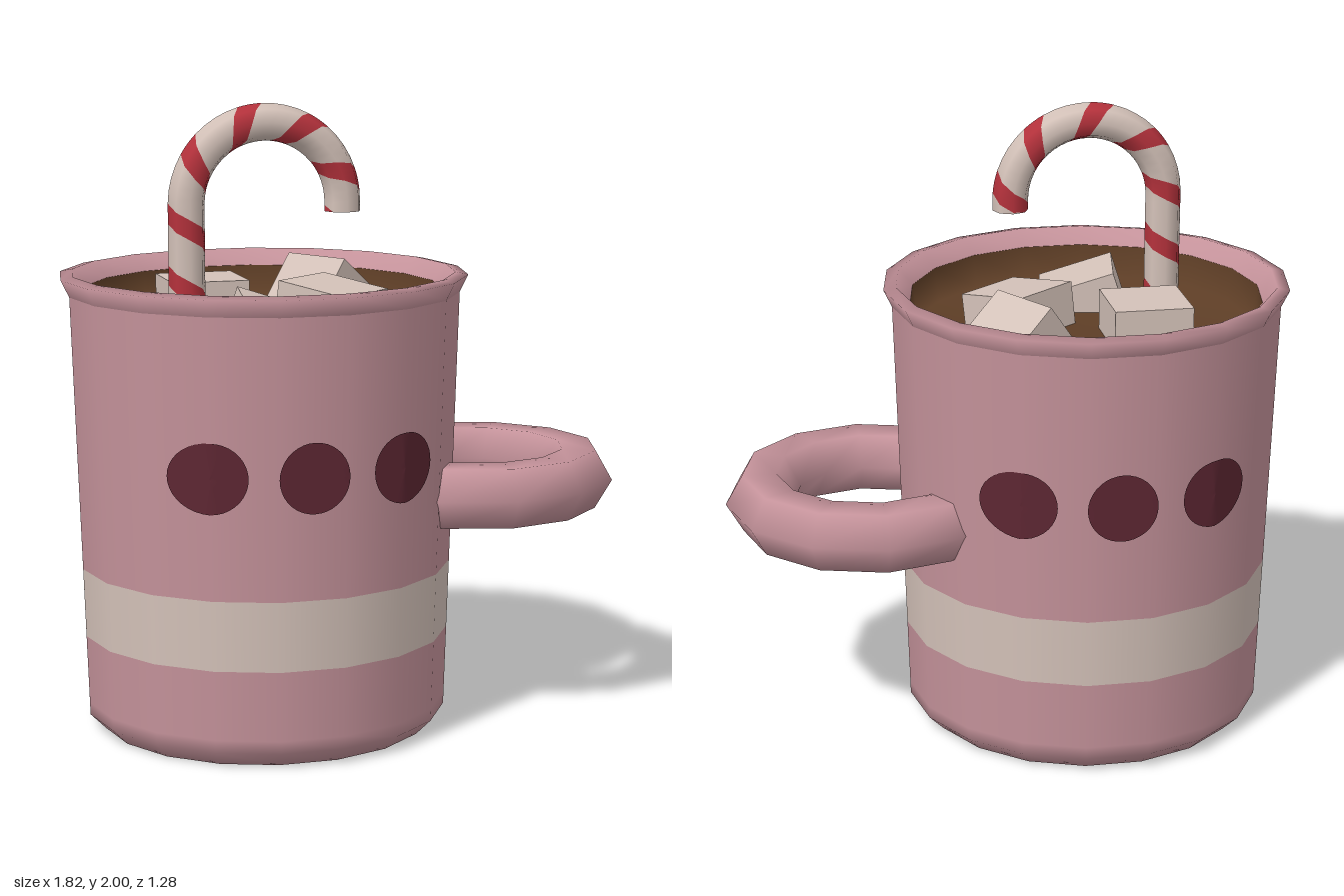
import * as THREE from 'three';

const mat = (name, color, side = THREE.FrontSide) => {
  const m = new THREE.MeshStandardMaterial({ color, side });
  m.name = name;
  return m;
};

const SIDES = 18;
const MUG_X = -0.26;
const wallRadius = (y) => 0.58 + (y - 0.05) * 0.032;

export function createModel() {
  const pink = mat('pink glaze', 0xc4929a);
  const cream = mat('cream', 0xd4c2b9);
  const maroon = mat('maroon', 0x5e2733);
  const cocoaBrown = mat('cocoa brown', 0x5e3e26);
  const red = mat('candy red', 0xb5323c);

  const model = new THREE.Group();
  const add = (name, geometry, material, parent = model) => {
    const mesh = new THREE.Mesh(geometry, material);
    mesh.name = name;
    parent.add(mesh);
    return mesh;
  };

  // Mug, turned in sections so that each band has its own colour
  const mug = new THREE.Group();
  mug.name = 'mug';
  mug.position.x = MUG_X;
  model.add(mug);
  const turned = (name, profile, material) => add(name, new THREE.LatheGeometry(
    profile.map(([r, y]) => new THREE.Vector2(r, y)), SIDES, Math.PI / 2), material, mug);
  const wall = (y) => [wallRadius(y), y];

  turned('lowerWall', [[0, 0], [0.53, 0], wall(0.05), wall(0.09), wall(0.31)], pink);
  turned('creamBand', [wall(0.31), wall(0.53)], cream);
  turned('upperWall', [wall(0.53), wall(1.4)], pink);
  turned('rim', [wall(1.4), [0.65, 1.455], [0.61, 1.463], [0.565, 1.41]], pink);
  turned('cocoa', [[0.565, 1.41], [0.55, 1.3], [0, 1.3]], cocoaBrown);

  // Depth of the many-sided wall at a given x and y
  const wallZ = (x, y) => {
    const apothem = wallRadius(y) * Math.cos(Math.PI / SIDES);
    let z = Infinity;
    for (let k = 0; k < SIDES / 2; k++) {
      const a = (k + 0.5) * 2 * Math.PI / SIDES;
      z = Math.min(z, (apothem - x * Math.cos(a)) / Math.sin(a));
    }
    return z;
  };

  // Three dots wrapped on the front and three on the back
  for (const side of [0, 1]) {
    for (const dx of [-0.307, 0, 0.307]) {
      const dot = new THREE.RingGeometry(0.0001, 0.11, 36, 8);
      const p = dot.attributes.position;
      for (let i = 0; i < p.count; i++) {
        const x = p.getX(i) + dx, y = p.getY(i) + 0.91;
        p.setXYZ(i, x, y, wallZ(x, y) + 0.005);
      }
      dot.computeVertexNormals();
      add(side ? 'backDot' : 'frontDot', dot, maroon, mug).rotation.y = side * Math.PI;
    }
  }

  // Six-sided ring handle lying flat, its ends buried in the wall
  const ring = new THREE.TorusGeometry(0.36, 0.11, 6, 10, Math.PI * 5 / 3);
  ring.rotateZ(-Math.PI * 5 / 6);
  ring.rotateX(Math.PI / 2);
  add('handle', ring, pink).position.set(0.44, 0.765, 0);

  // Marshmallows: centre, then tilt x, yaw, tilt z in degrees
  const marshmallows = [
    [-0.425, 1.305, -0.145, 0, 0, 0],
    [-0.002, 1.3, -0.236, 0, 31, -38],
    [-0.06, 1.295, 0.06, 8, 39, 0],
    [-0.32, 1.275, 0.265, 0, -10, -18],
  ];
  for (const [x, y, z, rx, ry, rz] of marshmallows) {
    const cube = add('marshmallow', new THREE.BoxGeometry(0.25, 0.25, 0.25), cream);
    cube.position.set(x, y, z);
    cube.rotation.set(...[rx, ry, rz].map(THREE.MathUtils.degToRad), 'YXZ');
  }

  // Candy cane: straight stem, half-circle hook, short tip
  const cane = new THREE.Group();
  cane.name = 'candyCane';
  model.add(cane);
  const R = 0.25, TUBE = 0.058, HOOK_X = -0.29, HOOK_Y = 1.692, CANE_Z = 0.14, FOOT = 1.2;
  const stem = HOOK_Y - FOOT, arc = Math.PI * R, length = stem + arc + 0.032;
  const canePoint = (s, phi) => {
    const a = THREE.MathUtils.clamp((s - stem) / R, 0, Math.PI);
    const out = new THREE.Vector3(-Math.cos(a), Math.sin(a), 0);
    const normal = out.clone().multiplyScalar(-Math.cos(phi));
    normal.z = Math.sin(phi);
    const straight = Math.min(s - stem, 0) - Math.max(s - stem - arc, 0);
    const point = new THREE.Vector3(HOOK_X, HOOK_Y + straight, CANE_Z)
      .addScaledVector(out, R).addScaledVector(normal, TUBE);
    return { point, normal };
  };

  // One colour of the spiral: a ribbon winding up the cane
  const PITCH = 0.19, TURNS = 9, STEPS = 8, ACROSS = 4;
  const spiral = (start, width) => {
    const pos = [], nor = [], index = [];
    for (let i = 0; i <= TURNS * STEPS; i++) {
      for (let j = 0; j <= ACROSS; j++) {
        const s = start + PITCH * i / STEPS + width * j / ACROSS;
        const { point, normal } = canePoint(
          THREE.MathUtils.clamp(s, 0, length), i / STEPS * Math.PI * 2);
        pos.push(...point.toArray());
        nor.push(...normal.toArray());
        if (i < TURNS * STEPS && j < ACROSS) {
          const a = i * (ACROSS + 1) + j, c = a + ACROSS + 1;
          index.push(a, a + 1, c, a + 1, c + 1, c);
        }
      }
    }
    const g = new THREE.BufferGeometry();
    g.setAttribute('position', new THREE.Float32BufferAttribute(pos, 3));
    g.setAttribute('normal', new THREE.Float32BufferAttribute(nor, 3));
    g.setIndex(index);
    return g;
  };
  const STRIPE = 0.062;
  add('redStripe', spiral(-0.23, STRIPE), red, cane);
  add('creamStripe', spiral(-0.23 + STRIPE, PITCH - STRIPE), cream, cane);

  const tip = add('caneTip', new THREE.CircleGeometry(TUBE, STEPS), cream, cane);
  tip.rotation.x = Math.PI / 2;
  tip.position.set(HOOK_X + R, HOOK_Y - 0.032, CANE_Z);

  return model;
}
